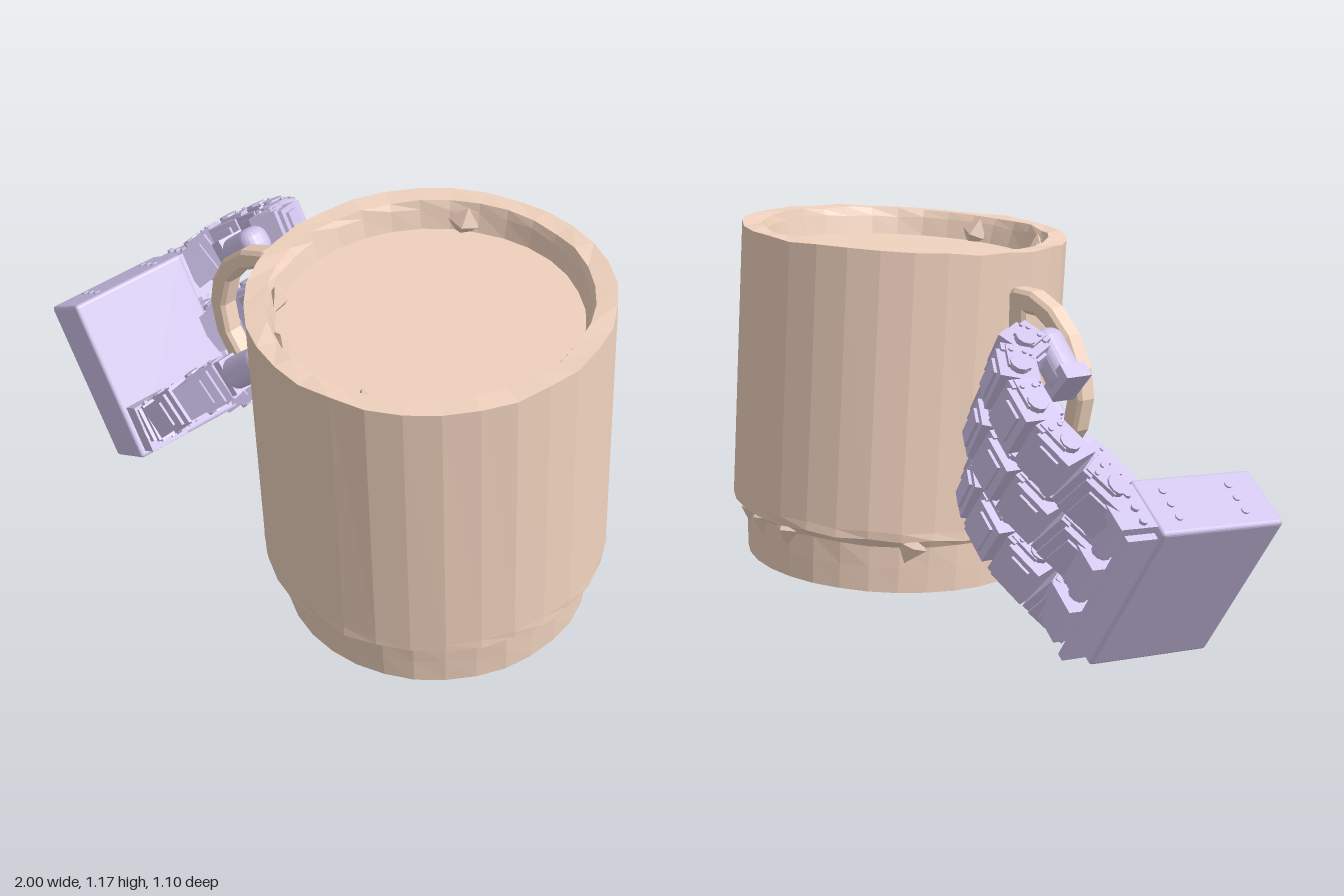
import * as THREE from 'three';
import { RoundedBoxGeometry } from 'three/addons/geometries/RoundedBoxGeometry.js';

const clay = new THREE.MeshStandardMaterial({ color: 0xf0d2be, flatShading: true, side: THREE.DoubleSide });
const lilac = new THREE.MeshStandardMaterial({ color: 0xcfc3ea, flatShading: true });
const V = (x, y, z) => new THREE.Vector3(x, y, z);
const TILT = Math.atan2(0.52, 0.85);          // direction the hand reaches in, in the xy plane
const ACROSS = V(-0.52, 0.85, 0).normalize(); // direction across the knuckles

function add(parent, name, geometry, material, x = 0, y = 0, z = 0) {
  const mesh = new THREE.Mesh(geometry, material);
  mesh.name = name;
  mesh.position.set(x, y, z);
  parent.add(mesh);
  return mesh;
}

// Small repeatable displacement, equal for equal positions; the flat foot and inner surface stay level
function roughen(geometry, amount) {
  const p = geometry.attributes.position;
  for (let i = 0; i < p.count; i++) {
    const x = p.getX(i), y = p.getY(i), z = p.getZ(i);
    const r = Math.hypot(x, z);
    if (r < 0.01) continue;
    const a = Math.round(x * 500), b = Math.round(y * 500), c = Math.round(z * 500);
    const n = Math.sin(a * 12.99 + b * 78.23 + c * 37.72) * amount;
    const m = Math.sin(a * 39.35 + b * 11.13 + c * 83.15) * amount;
    p.setXYZ(i, x * (1 + n), y + (y > 0.01 && r > 0.44 ? m : 0), z * (1 + n));
  }
  geometry.computeVertexNormals();
  return geometry;
}

function makeMug() {
  const mug = new THREE.Group();
  mug.name = 'mug';
  // Closed profile: foot, undercut lip, wall, rim, inside wall and raised inner surface
  const profile = [[0, 0], [0.471, 0], [0.474, 0.08], [0.478, 0.15], [0.495, 0.18], [0.524, 0.183],
    [0.524, 0.21], [0.522, 1.076], [0.462, 1.076], [0.452, 1.05], [0.437, 0.99], [0, 0.99]];
  const points = profile.map(([r, y]) => new THREE.Vector2(r, y));
  add(mug, 'mugBody', roughen(new THREE.LatheGeometry(points, 32), 0.004), clay);

  // Broken lumps under the lip and inside the rim
  const chip = (name, angle, r, y, size) => {
    const m = add(mug, name, new THREE.OctahedronGeometry(size, 0), clay,
      Math.sin(angle) * r, y, Math.cos(angle) * r);
    m.rotation.set(0, angle, 0.35 * Math.sin(angle * 40));
    m.scale.set(1.1, 1.3, 0.7);
  };
  for (const a of [-0.5, -0.38, 1.75, 2.5, 2.75, 3.0, 3.3, 4.2, 5.2]) chip('lipChip', a, 0.475, 0.155, 0.045);
  for (const a of [-2.65, -1.0, -0.5, 0.35]) chip('rimChip', a, 0.44, 1.015, 0.045);

  mug.position.set(0.475, 0.06, -0.04);
  mug.rotation.set(0.064, 0, 0.014);
  return mug;
}

function makeHandle() {
  const outer = [[-0.04, 1.0], [-0.07, 1.02], [-0.15, 1.02], [-0.24, 0.985], [-0.32, 0.915], [-0.37, 0.82], [-0.385, 0.73],
    [-0.36, 0.63], [-0.31, 0.56], [-0.22, 0.5], [-0.12, 0.48], [-0.04, 0.48]];
  const inner = [[-0.125, 0.95], [-0.17, 0.95], [-0.24, 0.91], [-0.295, 0.84], [-0.32, 0.74],
    [-0.3, 0.65], [-0.25, 0.59], [-0.19, 0.555], [-0.125, 0.545]];
  const toVec = ([x, y]) => new THREE.Vector2(x, y);
  const shape = new THREE.Shape(outer.map(toVec));
  shape.holes.push(new THREE.Path(inner.map(toVec)));
  const geometry = new THREE.ExtrudeGeometry(shape, { depth: 0.045, bevelEnabled: true,
    bevelSize: 0.012, bevelOffset: -0.012, bevelThickness: 0.01, bevelSegments: 1 });
  const handle = new THREE.Mesh(geometry, clay);
  handle.name = 'mugHandle';
  handle.position.z = 0.042;
  return handle;
}

// A group whose x axis runs from a to b
function frame(parent, name, a, b) {
  const g = new THREE.Group();
  g.name = name;
  const x = b.clone().sub(a).normalize();
  const z = x.clone().cross(ACROSS).normalize();
  const y = z.clone().cross(x);
  g.quaternion.setFromRotationMatrix(new THREE.Matrix4().makeBasis(x, y, z));
  g.position.copy(a).add(b).multiplyScalar(0.5);
  parent.add(g);
  return g;
}

// Servo block with side brackets, joint horns and screws
function motorLink(parent, a, b, size) {
  const g = frame(parent, 'motorLink', a, b);
  const len = a.distanceTo(b);
  add(g, 'motor', new THREE.BoxGeometry(len * 0.82, size, size * 0.9), lilac);
  add(g, 'motorCap', new THREE.BoxGeometry(len * 0.45, size * 0.75, size * 1.05), lilac);
  add(g, 'bracketBridge', new THREE.BoxGeometry(0.03, size * 1.1, size * 0.7), lilac, len * 0.46);
  for (const s of [-1, 1]) {
    add(g, 'bracketArm', new THREE.BoxGeometry(len * 0.65, 0.012, size * 0.5), lilac, len * 0.2, s * size * 0.54);
    add(g, 'jointHorn', new THREE.CylinderGeometry(size * 0.23, size * 0.23, 0.03, 10), lilac, -len * 0.05, s * size * 0.52);
    for (const t of [-1, 1]) {
      add(g, 'screw', new THREE.CylinderGeometry(0.008, 0.008, 0.015, 6), lilac, len * 0.34, s * size * 0.57, t * size * 0.15);
    }
  }
}

function fingertip(parent, a, b) {
  const g = frame(parent, 'fingertip', a, b);
  const len = a.distanceTo(b);
  add(g, 'tipPad', new RoundedBoxGeometry(len + 0.07, 0.105, 0.1, 3, 0.042), lilac);
  add(g, 'tipCollar', new THREE.BoxGeometry(0.05, 0.12, 0.09), lilac, -len / 2 - 0.01);
}

function digit(parent, name, path, tip, size) {
  const g = new THREE.Group();
  g.name = name;
  for (let i = 0; i < path.length - 1; i++) motorLink(g, path[i], path[i + 1], size);
  fingertip(g, tip[0], tip[1]);
  parent.add(g);
}

function makeHand() {
  const hand = new THREE.Group();
  hand.name = 'roboticHand';

  // Palm block, seen edge-on from the front and turned slightly about its long side
  const palm = new THREE.Group();
  palm.name = 'palm';
  palm.position.set(-0.747, 0.307, 0.055);
  palm.rotation.set(0, -0.17, TILT, 'ZYX');
  hand.add(palm);
  add(palm, 'palmShell', new RoundedBoxGeometry(0.21, 0.56, 0.42, 2, 0.012), lilac);
  add(palm, 'palmEndCap', new THREE.BoxGeometry(0.16, 0.03, 0.42), lilac, 0.01, 0.26, -0.12);
  add(palm, 'palmBackPlate', new THREE.BoxGeometry(0.025, 0.5, 0.12), lilac, -0.08, 0, -0.25);
  add(palm, 'thumbMount', new THREE.BoxGeometry(0.08, 0.16, 0.14), lilac, 0.13, -0.18, 0.12);
  for (let i = -1; i <= 1; i++) {
    add(palm, 'knuckleHorn', new THREE.CylinderGeometry(0.03, 0.03, 0.17, 10), lilac, 0.03, i * 0.18, -0.25);
    add(palm, 'knuckleBracket', new THREE.BoxGeometry(0.12, 0.13, 0.12), lilac, 0.03, i * 0.18, -0.25);
    for (const z of [-0.25, -0.13, 0.1]) {
      add(palm, 'palmScrew', new THREE.CylinderGeometry(0.012, 0.012, 0.01, 8), lilac, i * 0.05, 0.28, z);
    }
  }

  // Three fingers rising from the knuckles, reaching along the back and curling in to the handle
  const offsets = [V(0, 0, 0), V(0.13, -0.18, 0.04), V(0.2, -0.39, 0.07)];
  const path = [V(-0.79, 0.52, -0.19), V(-0.7, 0.63, -0.27), V(-0.58, 0.72, -0.305), V(-0.46, 0.81, -0.29),
    V(-0.36, 0.875, -0.23), V(-0.32, 0.9, -0.12)];
  const tips = [[V(-0.42, 0.82, -0.06), V(-0.32, 0.91, -0.05)], [V(-0.29, 0.68, -0.05), V(-0.19, 0.78, -0.04)],
    [V(-0.21, 0.48, -0.05), V(-0.13, 0.56, -0.04)]];
  offsets.forEach((o, i) => digit(hand, 'finger', path.map(p => p.clone().add(o)), tips[i], 0.135));

  // Thumb closing from the front side
  digit(hand, 'thumb', [V(-0.62, 0.16, 0.18), V(-0.5, 0.27, 0.225), V(-0.39, 0.39, 0.21), V(-0.27, 0.51, 0.14)],
    [V(-0.25, 0.53, 0.12), V(-0.14, 0.63, 0.11)], 0.115);
  return hand;
}

export function createModel() {
  const model = new THREE.Group();
  model.name = 'mugInRoboticHand';
  model.add(makeMug(), makeHandle(), makeHand());
  return model;
}
